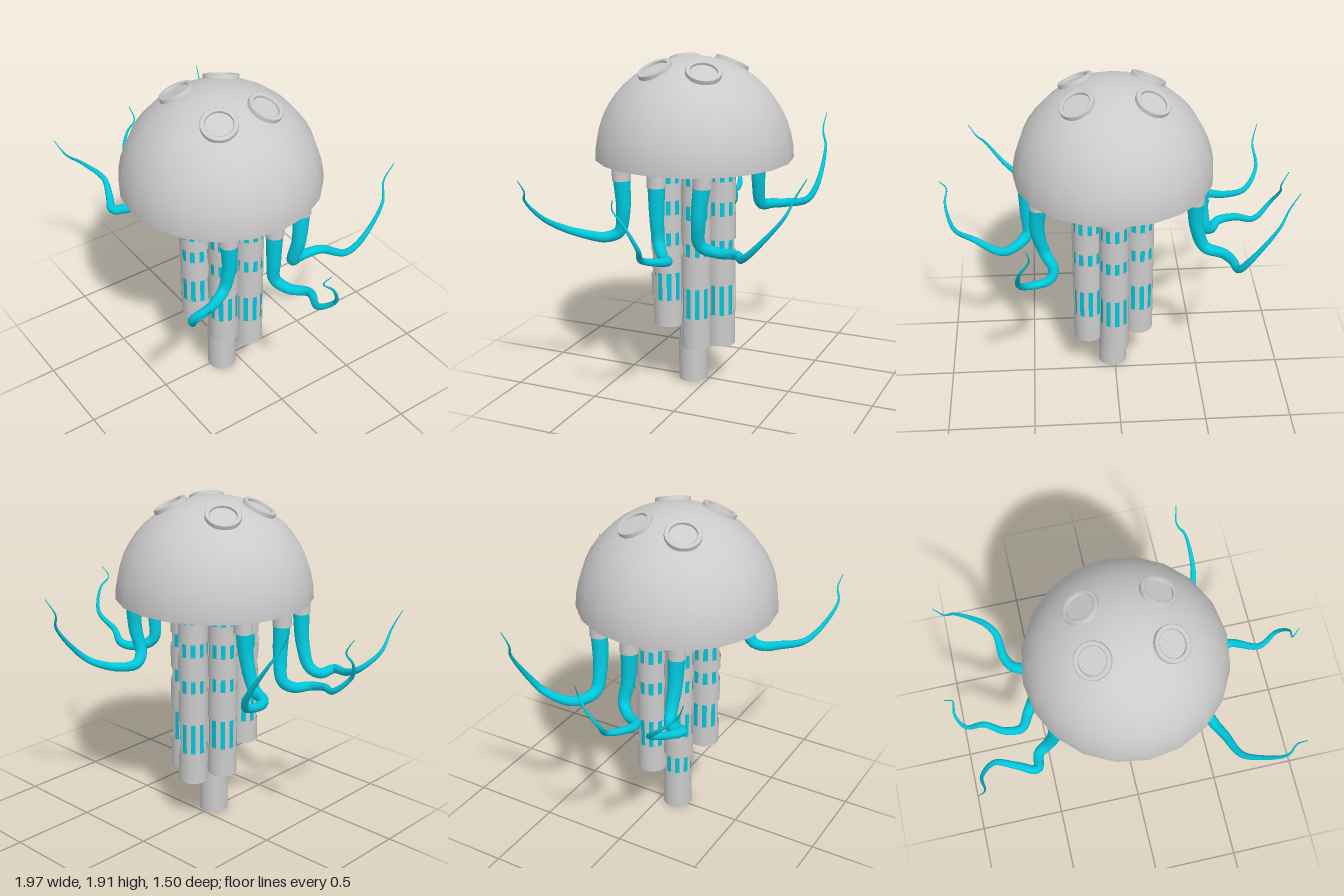
import * as THREE from 'three';
import { mergeGeometries } from 'three/addons/utils/BufferGeometryUtils.js';

const CX = 0.005, CZ = 0.09, RIM = 1.35, R = 0.563;
const grey = new THREE.MeshStandardMaterial({ color: 0xcccccc, side: THREE.DoubleSide });
const cyan = new THREE.MeshStandardMaterial({ color: 0x00c8dc, side: THREE.DoubleSide });

function add(parent, name, geometry, material, x = 0, y = 0, z = 0) {
  const mesh = new THREE.Mesh(geometry, material);
  mesh.name = name;
  mesh.position.set(x, y, z);
  parent.add(mesh);
  return mesh;
}

// Open pipe of 20 sides; every second side is left out in the window rows.
function windowedPipe(r, bottom, rows) {
  const step = Math.PI / 10, parts = [];
  const band = (lo, hi, start, length, sides) => parts.push(
    new THREE.CylinderGeometry(r, r, hi - lo, sides, 1, true, start, length).translate(0, (lo + hi) / 2, 0));
  let y = bottom;
  for (const [lo, hi] of rows) {
    band(y, lo, 0, Math.PI * 2, 20);
    for (let i = 0; i < 10; i++) band(lo, hi, (2 * i + 1) * step, step, 1);
    y = hi;
  }
  band(y, RIM + 0.04, 0, Math.PI * 2, 20);
  return mergeGeometries(parts);
}

// Round tube along a curve, thinning to a point.
function taperedTube(points, radius) {
  const curve = new THREE.CatmullRomCurve3(points.map(p => new THREE.Vector3(...p)), false, 'centripetal');
  const segments = 72, sides = 12;
  const geo = new THREE.TubeGeometry(curve, segments, 1, sides);
  const pos = geo.attributes.position, v = new THREE.Vector3();
  for (let i = 0; i <= segments; i++) {
    const t = i / segments, c = curve.getPointAt(t);
    const r = radius * Math.pow(1 - t, 1.15) + 0.002;
    for (let j = 0; j <= sides; j++) {
      const k = i * (sides + 1) + j;
      v.fromBufferAttribute(pos, k).sub(c).multiplyScalar(r).add(c);
      pos.setXYZ(k, v.x, v.y, v.z);
    }
  }
  return geo;
}

export function createModel() {
  const model = new THREE.Group();
  model.name = 'mechanicalJellyfish';

  // Bell with a flat underside
  const bell = new THREE.Group();
  bell.name = 'bell';
  model.add(bell);
  add(bell, 'dome', new THREE.SphereGeometry(R, 20, 12, 0, Math.PI * 2, 0, Math.PI / 2), grey, CX, RIM, CZ);
  add(bell, 'underside', new THREE.CircleGeometry(R, 20).rotateX(Math.PI / 2), grey, CX, RIM, CZ);

  // Four portholes on top of the bell
  const rim = [[0.074, -0.03], [0.074, 0.01], [0.078, 0.014], [0.096, 0.014], [0.1, 0.01], [0.1, -0.03]];
  const rimGeo = new THREE.LatheGeometry(rim.map(p => new THREE.Vector2(...p)), 28);
  for (const sx of [-1, 1]) for (const sz of [-1, 1]) {
    const n = new THREE.Vector3(sx * 0.2, 0.503, sz * 0.145).normalize();
    const port = new THREE.Group();
    port.name = 'porthole';
    port.position.set(CX, RIM, CZ).addScaledVector(n, R);
    port.quaternion.setFromUnitVectors(new THREE.Vector3(0, 1, 0), n);
    add(port, 'portholeRim', rimGeo, grey);
    add(port, 'portholePane', new THREE.CircleGeometry(0.075, 28).rotateX(-Math.PI / 2), grey, 0, -0.001, 0);
    bell.add(port);
  }

  // Seven hanging pipes: one in the middle, six around it; [x, z, bottom]
  const pipes = [
    [0, 0, 0], [0, 0.175, 0.5], [0.15, 0.0875, 0.385], [0.15, -0.0875, 0.27],
    [0, -0.175, 0.25], [-0.15, -0.0875, 0.32], [-0.15, 0.0875, 0.475],
  ];
  for (const [x, z, b] of pipes) {
    const pipe = new THREE.Group();
    pipe.name = 'pipe';
    pipe.position.set(0.012 + x, 0, 0.097 + z);
    model.add(pipe);
    const low = 0.25 + 0.76 * b, second = 0.715 + 0.4 * b, third = 1 + 0.13 * b;
    const rows = [[low, low + 0.21 - 0.12 * b], [second, second + 0.075], [third, third + 0.08], [1.23, 1.36]];
    add(pipe, 'pipeShell', windowedPipe(0.085, b, rows), grey);
    const h = RIM - low + 0.04;
    add(pipe, 'pipeCore', new THREE.CylinderGeometry(0.077, 0.077, h, 20), cyan, 0, RIM - h / 2, 0);
  }

  // Six tentacles in sockets under the rim, each listed from the socket to the tip
  const tentacles = {
    leftFront: [[0.43, 1.32, 0.335], [0.425, 1.1, 0.33], [0.42, 0.98, 0.36], [0.45, 0.95, 0.43], [0.485, 0.96, 0.5],
      [0.54, 1.0, 0.64], [0.65, 1.08, 0.71], [0.755, 1.2, 0.75], [0.8, 1.26, 0.72], [0.845, 1.33, 0.73]],
    leftMiddle: [[0.5, 1.32, 0.09], [0.5, 1.1, 0.09], [0.5, 0.97, 0.08], [0.56, 0.92, 0.03], [0.65, 0.925, -0.04],
      [0.81, 0.97, 0.03], [0.91, 1.06, 0.0], [0.955, 1.2, 0.06], [0.945, 1.26, 0.12], [0.98, 1.32, 0.1]],
    leftBack: [[0.43, 1.32, -0.145], [0.44, 1.1, -0.125], [0.4, 0.95, -0.12], [0.36, 0.91, -0.2], [0.39, 0.92, -0.33],
      [0.51, 0.94, -0.4], [0.545, 1.0, -0.47], [0.53, 1.2, -0.64], [0.48, 1.3, -0.68], [0.487, 1.4, -0.74]],
    rightFront: [[-0.43, 1.32, 0.335], [-0.45, 1.1, 0.335], [-0.5, 0.97, 0.34], [-0.555, 0.94, 0.37], [-0.58, 0.95, 0.46],
      [-0.69, 0.97, 0.42], [-0.8, 1.02, 0.39], [-0.88, 1.12, 0.48], [-0.87, 1.23, 0.59], [-0.9, 1.33, 0.64]],
    rightMiddle: [[-0.5, 1.32, 0.09], [-0.5, 1.1, 0.08], [-0.53, 0.97, 0.07], [-0.57, 0.93, 0.12], [-0.62, 0.93, 0.2],
      [-0.72, 0.95, 0.2], [-0.82, 0.97, 0.145], [-0.92, 1.07, 0.17], [-0.96, 1.17, 0.12], [-0.95, 1.24, 0.07], [-0.99, 1.32, 0.08]],
    rightBack: [[-0.43, 1.32, -0.145], [-0.45, 1.1, -0.13], [-0.5, 0.97, -0.13], [-0.6, 0.95, -0.17], [-0.64, 0.95, -0.24],
      [-0.655, 0.98, -0.37], [-0.7, 1.06, -0.415], [-0.85, 1.28, -0.42], [-0.9, 1.37, -0.385], [-0.95, 1.47, -0.39]],
  };
  for (const [side, points] of Object.entries(tentacles)) {
    const [x, , z] = points[0];
    add(model, side + 'Socket', new THREE.CylinderGeometry(0.052, 0.052, 0.08, 20), grey, x, RIM - 0.03, z);
    add(model, side + 'Tentacle', taperedTube(points, 0.047), cyan);
  }
  return model;
}
